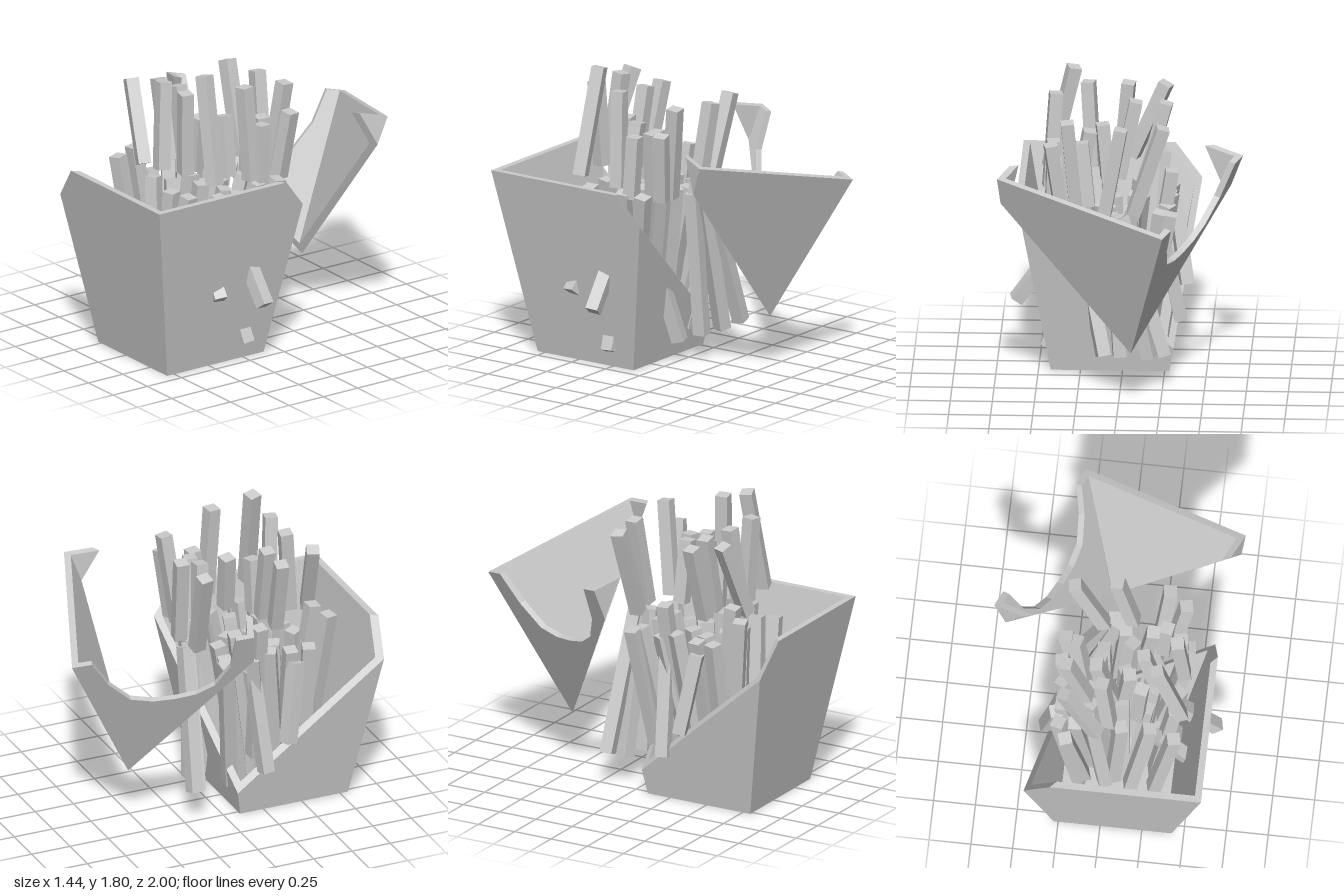
import * as THREE from 'three';
import { ConvexGeometry } from 'three/addons/geometries/ConvexGeometry.js';

const material = new THREE.MeshStandardMaterial({ color: 0xcccccc, flatShading: true });
const V = (x, y, z) => new THREE.Vector3(x, y, z);

// Tapered carton: centre, height, half widths at the bottom and top
const CX = 0.075, CZ = 0.45, H = 1.13, HALF_LOW = 0.352, HALF_TOP = 0.55;
const WALL = 0.04, FLOOR = 0.07;
const half = y => HALF_LOW + (HALF_TOP - HALF_LOW) * y / H;

// Slanted plane that slices one corner off the carton
const cutDistance = p => p.x - 0.95 * p.y + 0.975 * p.z + 0.378;

// Part of a convex solid on one side of the cut
function clip(points, side) {
  const d = points.map(p => cutDistance(p) * side);
  const out = points.filter((p, i) => d[i] >= 0);
  if (!out.length) return null;
  for (let i = 0; i < points.length; i++)
    for (let j = 0; j < i; j++)
      if (d[i] * d[j] < 0) out.push(points[i].clone().lerp(points[j], d[i] / (d[i] - d[j])));
  return new ConvexGeometry(out);
}

// Mitred walls and a floor, each clipped by the plane
function carton(side, name, walls) {
  const group = new THREE.Group();
  group.name = name;
  const add = (points, part) => {
    const geometry = clip(points, side);
    if (!geometry) return;
    const mesh = new THREE.Mesh(geometry, material);
    mesh.name = part;
    group.add(mesh);
  };
  walls.forEach((part, k) => {
    const points = [];
    for (const y of [0, H])
      for (const inset of [0, WALL])
        for (const s of [-1, 1]) {
          const r = half(y) - inset;
          const p = V(s * r, y, r).applyAxisAngle(V(0, 1, 0), k * Math.PI / 2);
          points.push(p.add(V(CX, 0, CZ)));
        }
    add(points, part);
  });
  const floor = [];
  for (const y of [0, FLOOR])
    for (const sx of [-1, 1])
      for (const sz of [-1, 1]) {
        const r = half(y) - WALL * 0.5;
        floor.push(V(CX + sx * r, y, CZ + sz * r));
      }
  add(floor, 'floor');
  return group;
}

// Side wall of the detached corner, with a rounded scoop in its rim.
// Each point: distance along the wall, depth below the rim, then both shifts of the inner face
function scoopedWall() {
  const outline = [
    [0, 0, WALL, 0], [0.12, 0, 0, 0], [0.185, 0.2, 0, 0], [0.29, 0.36, 0, 0],
    [0.42, 0.41, 0, 0], [0.55, 0.42, 0, 0], [0.68, 0.41, 0, 0], [0.8, 0.36, 0, 0],
    [0.92, 0.22, 0, 0], [0.99, 0, 0, 0], [1.1, 0, -WALL, 0],
    [1.064, 0.205, -WALL, 0], [0.173, 0.976, 0.03, -0.06],
  ];
  const n = outline.length;
  const point = (s, d, inset) => V(CX - half(H - d) + inset, H - d, CZ - HALF_TOP + s);
  const ring = [
    ...outline.map(([s, d]) => point(s, d, 0)),
    ...outline.map(([s, d, ds, dd]) => point(s + ds, d + dd, WALL)),
  ];
  const index = [];
  const flat = outline.map(([s, d]) => new THREE.Vector2(s, -d));
  for (const tri of THREE.ShapeUtils.triangulateShape(flat, [])) {
    // Outer face looks towards -x, inner face towards +x
    const [a, b, c] = tri.map(i => ring[i]);
    const outward = b.clone().sub(a).cross(c.clone().sub(a)).x < 0;
    const [i, j, k] = outward ? tri : [tri[0], tri[2], tri[1]];
    index.push(i, j, k, i + n, k + n, j + n);
  }
  for (let i = 0; i < n; i++) {
    const j = (i + 1) % n;
    index.push(i, j, j + n, i, j + n, i + n);
  }
  const geometry = new THREE.BufferGeometry().setFromPoints(ring);
  geometry.setIndex(index);
  const flatGeometry = geometry.toNonIndexed();
  flatGeometry.computeVertexNormals();
  const mesh = new THREE.Mesh(flatGeometry, material);
  mesh.name = 'scoopedWall';
  return mesh;
}

// Square stick between two end points
function fry(top, bottom, twist, size, name) {
  const dir = top.clone().sub(bottom);
  const mesh = new THREE.Mesh(new THREE.BoxGeometry(size, dir.length(), size), material);
  mesh.position.copy(top).add(bottom).multiplyScalar(0.5);
  mesh.quaternion.setFromUnitVectors(V(0, 1, 0), dir.normalize());
  mesh.rotateY(twist);
  mesh.name = name;
  return mesh;
}

export function createModel() {
  const model = new THREE.Group();
  const walls = ['frontWall', 'rightWall', 'backWall', 'leftWall'];
  model.add(carton(1, 'carton', walls));

  // Detached corner, moved away and tilted
  const corner = carton(-1, 'detachedCorner', walls.slice(0, 3));
  corner.add(scoopedWall());
  const x = V(0.909, 0.209, 0.364).normalize();
  const y = V(-0.4, 0.182, 0.9).cross(x).normalize();
  const z = x.clone().cross(y);
  const matrix = new THREE.Matrix4().makeBasis(x, y, z);
  const pivot = V(CX - HALF_TOP, H, CZ - HALF_TOP);
  matrix.setPosition(V(-0.28, 1.2, -1).sub(pivot.applyMatrix4(matrix)));
  corner.applyMatrix4(matrix);
  model.add(corner);

  let seed = 7;
  const jitter = a => {
    seed = (seed * 16807) % 2147483647;
    return (seed / 2147483647 - 0.5) * 2 * a;
  };

  // Raised fries: top x, y, z then bottom x, y, z
  const upper = [
    [-0.24, 1.64, 0.59, -0.04, 1.17, 0.64],
    [0.3, 1.79, 0.44, 0.45, 1.15, 0.47],
    [-0.02, 1.67, 0.51, 0.03, 1.14, 0.56],
    [0.22, 1.67, 0.52, 0.19, 1.15, 0.5],
    [0.4, 1.7, 0.22, 0.44, 1.12, 0.2],
    [-0.07, 1.6, 0.37, 0.03, 1.12, 0.38],
    [-0.25, 1.59, 0.38, -0.12, 1.12, 0.4],
    [0.13, 1.46, 0.36, 0.1, 1.12, 0.36],
    [0.2, 1.46, 0.23, 0.27, 1.1, 0.25],
    [0.24, 1.44, 0.07, 0.2, 1.05, 0.05],
    [0.41, 1.44, 0.1, 0.42, 1.06, 0.12],
    [0.32, 1.63, -0.13, 0.27, 1.06, -0.06],
    [0.42, 1.48, -0.1, 0.36, 1.06, -0.06],
    [0.32, 1.45, 0.04, 0.3, 1.06, 0.04],
    [0.0, 1.6, -0.16, 0.1, 1.05, -0.13],
    [-0.25, 1.6, -0.12, -0.07, 1.05, -0.09],
  ];
  // Lower fries leaning out of the open side or poking through the walls
  const loose = [
    [-0.01, 1.04, -0.14, -0.26, 0.2, -0.19],
    [0.02, 1.04, -0.11, -0.17, 0.16, -0.12],
    [0.06, 1.04, -0.07, 0.01, 0.16, -0.1],
    [-0.29, 1.02, 0.0, -0.12, 0.14, 0.1],
    [0.22, 0.66, 0.1, 0.11, 0.13, -0.01],
    [0.4, 0.72, 0.25, 0.64, 0.39, 0.24],
    [0.3, 0.72, 0.46, 0.52, 0.44, 0.485],
    [0.3, 0.47, 0.28, 0.46, 0.1, 0.25],
    [-0.3, 0.95, 0.45, -0.37, 0.46, 0.37],
    [-0.22, 0.9, 0.2, -0.34, 0.28, 0.24],
    [-0.29, 1.22, 0.22, -0.14, 0.3, 0.25],
    [-0.17, 1.24, 0.62, -0.1, 0.3, 0.5],
    [-0.22, 1.18, 0.7, -0.12, 0.3, 0.6],
  ];
  const addAll = (list, name) => list.forEach(f =>
    model.add(fry(V(f[0], f[1], f[2]), V(f[3], f[4], f[5]), jitter(0.35), 0.077, name)));
  addAll(upper, 'upperFry');
  addAll(loose, 'looseFry');

  // Fries standing in the carton, gathered towards the floor
  for (let i = 0; i < 5; i++)
    for (let j = 0; j < 5; j++) {
      const top = V(-0.26 + 0.17 * i + jitter(0.04), 1.04 + jitter(0.06), 0.03 + 0.13 * j + jitter(0.03));
      const bottom = V(-0.13 + 0.1 * i + jitter(0.04), 0.13 + jitter(0.06), 0.2 + 0.09 * j + jitter(0.03));
      model.add(fry(top, bottom, jitter(0.6), 0.077, 'lowerFry'));
    }
  return model;
}
